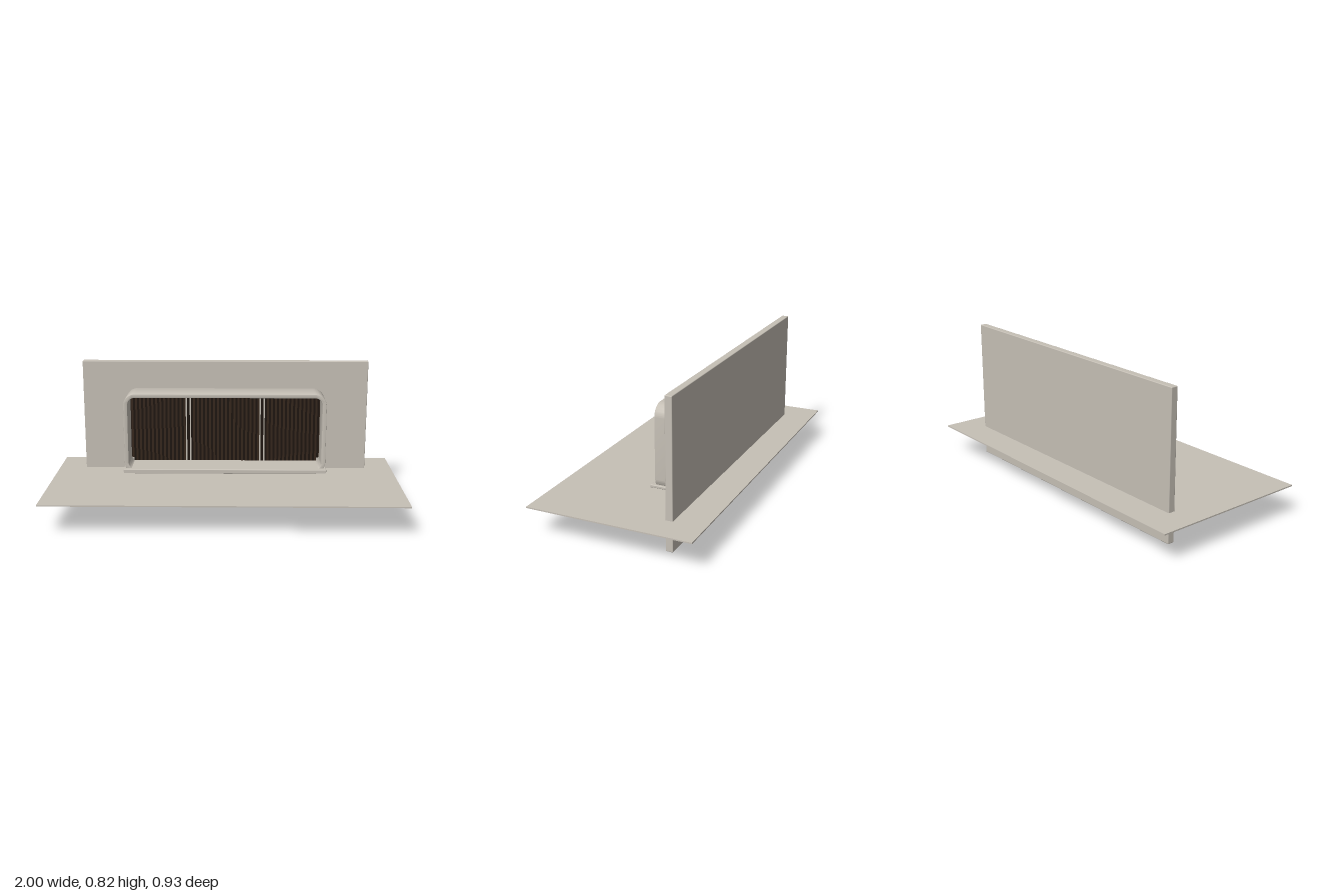
import * as THREE from 'three';
import { toCreasedNormals } from 'three/addons/utils/BufferGeometryUtils.js';
import { RoundedBoxGeometry } from 'three/addons/geometries/RoundedBoxGeometry.js';

const stone = new THREE.MeshStandardMaterial({ color: 0xc6c0b6 });
stone.name = 'warm stone';
const darkWood = new THREE.MeshStandardMaterial({ color: 0x1c130d });
darkWood.name = 'dark wood';
const brownWood = new THREE.MeshStandardMaterial({ color: 0x35261b });
brownWood.name = 'brown wood';

// Box given by its minimum and maximum corners, optionally with eased edges
function block(name, [x0, y0, z0], [x1, y1, z1], material, radius = 0) {
  const size = [x1 - x0, y1 - y0, z1 - z0];
  const geometry = radius
    ? new RoundedBoxGeometry(...size, 2, radius)
    : new THREE.BoxGeometry(...size);
  const mesh = new THREE.Mesh(geometry, material);
  mesh.name = name;
  mesh.position.set((x0 + x1) / 2, (y0 + y1) / 2, (z0 + z1) / 2);
  return mesh;
}

function roundedRect(target, hw, y0, y1, r) {
  target.moveTo(hw, y0 + r);
  target.absarc(hw - r, y1 - r, r, 0, Math.PI / 2);
  target.absarc(-hw + r, y1 - r, r, Math.PI / 2, Math.PI);
  target.absarc(-hw + r, y0 + r, r, Math.PI, Math.PI * 1.5);
  target.absarc(hw - r, y0 + r, r, Math.PI * 1.5, Math.PI * 2);
  return target;
}

// Hollow housing with rounded corners and lightly eased rims
function housing() {
  const bevel = 0.003;
  const shape = roundedRect(new THREE.Shape(), 0.587 - bevel, 0.188 + bevel, 0.665 - bevel, 0.067);
  shape.holes.push(roundedRect(new THREE.Path(), 0.563 + bevel, 0.212 - bevel, 0.642 + bevel, 0.048));
  const geometry = new THREE.ExtrudeGeometry(shape, {
    depth: 0.173 - 2 * bevel, curveSegments: 12,
    bevelSize: bevel, bevelThickness: bevel, bevelSegments: 2,
  });
  const mesh = new THREE.Mesh(toCreasedNormals(geometry, 0.6), stone);
  mesh.name = 'housing';
  mesh.position.z = -0.238 + bevel;
  return mesh;
}

// Height of the slat screen at x, following the housing's rounded corners
function screenSpan(x) {
  const r = 0.06, over = Math.max(0, Math.abs(x) - (0.575 - r));
  const inset = r - Math.sqrt(Math.max(0, r * r - over * over));
  return [0.2 + inset, 0.655 - inset];
}

// Three fluted panels with narrow gaps and a post in each gap
function slatScreen() {
  const group = new THREE.Group();
  group.name = 'slatScreen';
  const panels = [[-0.572, -0.236], [-0.204, 0.204], [0.236, 0.572]];
  for (const [x0, x1] of panels) {
    const count = Math.round((x1 - x0) / 0.024);
    const pitch = (x1 - x0) / count;
    for (let i = 0; i < count; i++) {
      const a = x0 + i * pitch, b = a + pitch, m = a + pitch * 0.5;
      const [y0, y1] = screenSpan(Math.max(Math.abs(a), Math.abs(b)));
      group.add(block('groove', [a, y0, -0.243], [m, y1, -0.239], darkWood));
      group.add(block('slat', [m, y0, -0.246], [b, y1, -0.235], brownWood));
    }
  }
  for (const side of [-1, 1]) {
    const x = side * 0.22;
    group.add(block('post', [x - 0.008, 0.2, -0.246], [x + 0.008, 0.655, -0.236], darkWood));
  }
  return group;
}

export function createModel() {
  const model = new THREE.Group();
  model.name = 'wallNiche';
  model.add(block('ground', [-1, 0.165, -0.465], [1, 0.172, 0.463], stone));
  model.add(block('wall', [-0.842, 0, -0.289], [0.842, 0.825, -0.249], stone, 0.004));
  model.add(housing());
  model.add(slatScreen());

  // Sill with a small drip lip under its front edge
  model.add(block('sill', [-0.592, 0.206, -0.239], [0.592, 0.222, -0.039], stone, 0.004));
  model.add(block('dripLip', [-0.588, 0.2, -0.043], [0.588, 0.21, -0.039], stone));
  return model;
}
